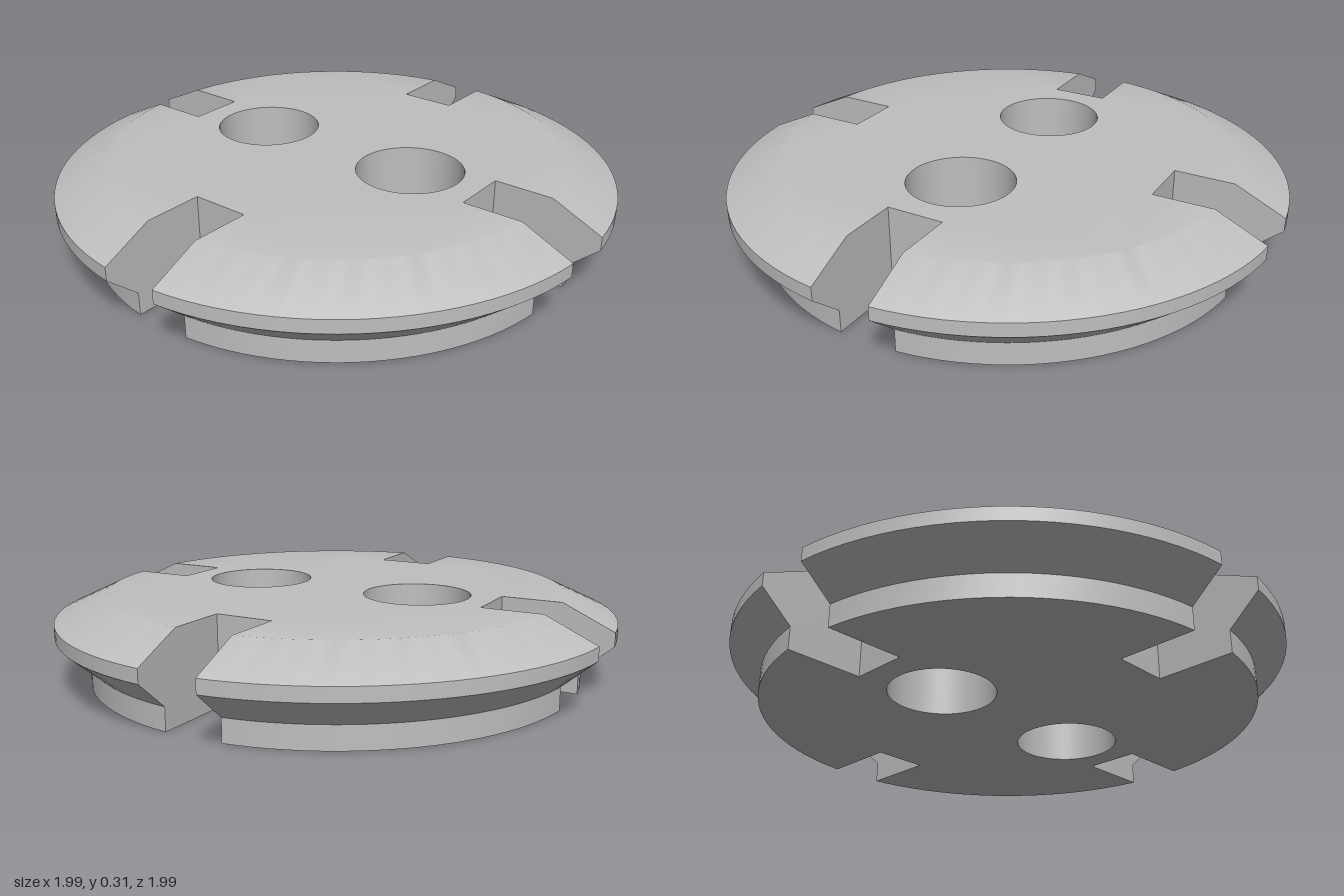
import * as THREE from 'three';
import { mergeGeometries, toCreasedNormals } from 'three/addons/utils/BufferGeometryUtils.js';

const HALF_SLOT = 0.103, SLOT_END = 0.6, TOP = 0.312, STEPS = 24;
const HOLE_X = 0.324, HOLE_R = 0.188;
// rim profile from bottom to top: radius, height
const PROFILE = [[0.885, 0], [0.885, 0.08], [1, 0.18], [1, 0.228], [0.82, TOP]];

// angle at fraction t of a quadrant arc, trimmed where the slots cut it
function arcAngle(r, t) {
  const a = Math.asin(HALF_SLOT / r);
  return a + t * (Math.PI / 2 - 2 * a);
}

// one quadrant of rim between two profile points
function rimBand([r0, y0], [r1, y1]) {
  const geo = new THREE.PlaneGeometry(1, 1, STEPS, 1);
  const p = geo.attributes.position;
  for (let i = 0; i < p.count; i++) {
    const upper = p.getY(i) > 0;
    const r = upper ? r1 : r0;
    const a = arcAngle(r, p.getX(i) + 0.5);
    p.setXYZ(i, r * Math.sin(a), upper ? y1 : y0, r * Math.cos(a));
  }
  geo.computeVertexNormals();
  return geo;
}

// flat disc outline with four slots and two round holes
function slottedDisc(r) {
  const pts = [];
  for (let q = 0; q < 4; q++) {
    const c = Math.cos(q * Math.PI / 2), s = Math.sin(q * Math.PI / 2);
    const add = (x, y) => pts.push(new THREE.Vector2(x * c - y * s, x * s + y * c));
    add(SLOT_END, HALF_SLOT);
    for (let i = 0; i <= STEPS; i++) {
      const a = arcAngle(r, i / STEPS);
      add(r * Math.cos(a), r * Math.sin(a));
    }
    add(HALF_SLOT, SLOT_END);
  }
  const shape = new THREE.Shape(pts);
  for (const x of [-HOLE_X, HOLE_X]) {
    shape.holes.push(new THREE.Path().absarc(x, 0, HOLE_R, 0, Math.PI * 2, true));
  }
  return new THREE.ShapeGeometry(shape, 24);
}

// side wall of a slot, following the rim profile
function slotWall(side) {
  const pts = [[SLOT_END, 0], ...PROFILE.map(([r, y]) => [Math.sqrt(r * r - HALF_SLOT ** 2), y]), [SLOT_END, TOP]];
  const shape = new THREE.Shape(pts.map(([d, y]) => new THREE.Vector2(side * d, y)));
  return new THREE.ShapeGeometry(shape).rotateY(-side * Math.PI / 2).translate(side * HALF_SLOT, 0, 0);
}

export function createModel() {
  const model = new THREE.Group();
  model.name = 'slottedDisc';
  const grey = new THREE.MeshStandardMaterial({ color: 0xbfbfbf });
  grey.name = 'grey';
  const add = (name, geo) => {
    const mesh = new THREE.Mesh(geo, grey);
    mesh.name = name;
    model.add(mesh);
    return mesh;
  };

  // top face blended softly into its bevel
  const crown = [slottedDisc(PROFILE[4][0]).rotateX(-Math.PI / 2).translate(0, TOP, 0)];
  for (let q = 0; q < 4; q++) crown.push(rimBand(PROFILE[3], PROFILE[4]).rotateY(q * Math.PI / 2));
  add('topFace', toCreasedNormals(mergeGeometries(crown), 0.6));
  add('bottomFace', slottedDisc(PROFILE[0][0]).rotateX(Math.PI / 2));

  for (let q = 0; q < 4; q++) {
    const turn = q * Math.PI / 2;
    // base step, undercut and outer edge
    ['baseRim', 'undercut', 'outerEdge'].forEach((name, i) => {
      add(name, rimBand(PROFILE[i], PROFILE[i + 1])).rotation.y = turn;
    });
    // slot interior
    const end = new THREE.PlaneGeometry(2 * HALF_SLOT, TOP).translate(0, TOP / 2, SLOT_END);
    add('slot', mergeGeometries([slotWall(1), slotWall(-1), end])).rotation.y = turn;
  }

  // hole walls, profile drawn downward so they face inward
  for (const x of [-HOLE_X, HOLE_X]) {
    const wall = [new THREE.Vector2(HOLE_R, TOP), new THREE.Vector2(HOLE_R, 0)];
    add('holeWall', new THREE.LatheGeometry(wall, 48)).position.x = x;
  }
  return model;
}
